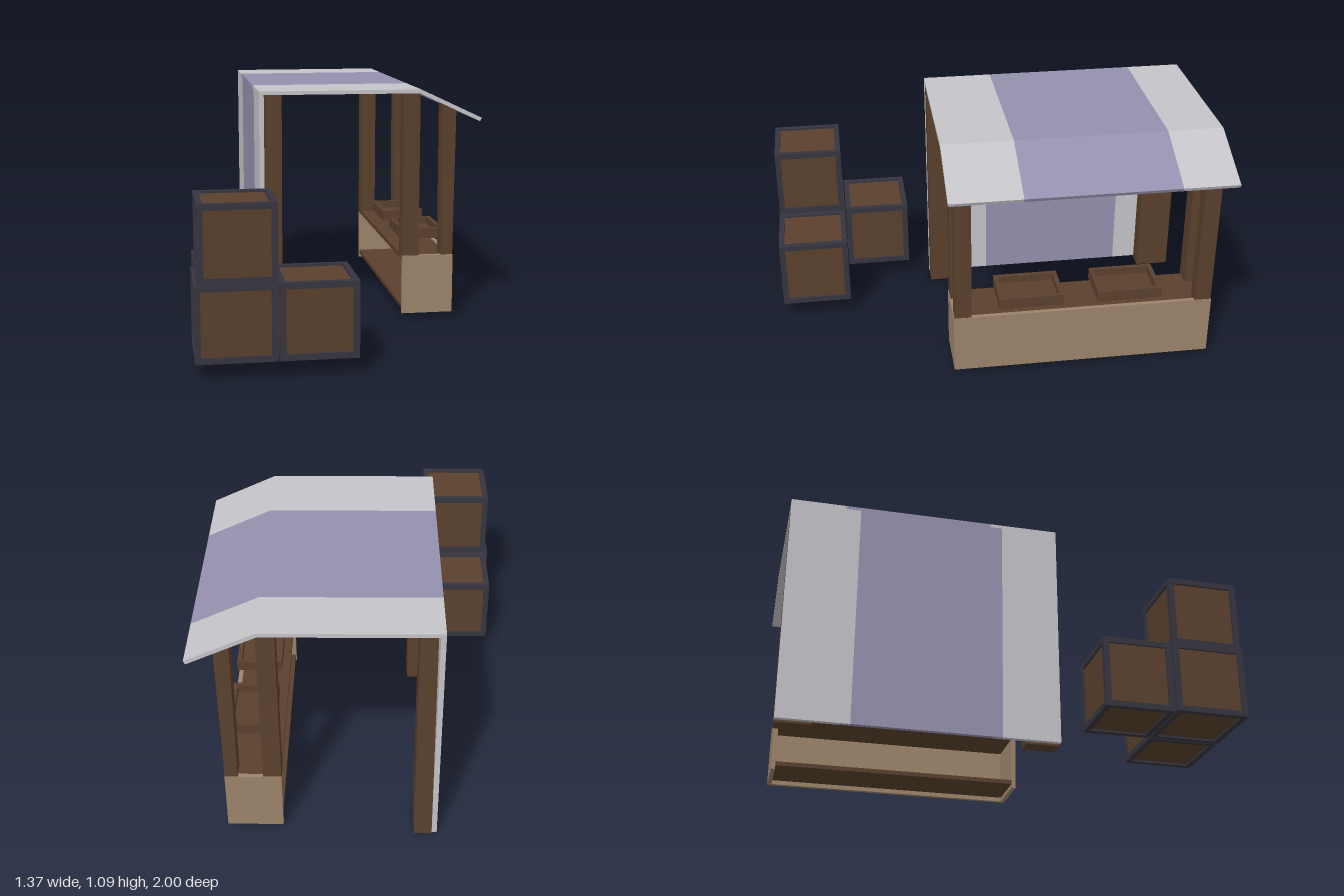
import * as THREE from 'three';

const material = (name, color) => {
  const m = new THREE.MeshStandardMaterial({ color });
  m.name = name;
  return m;
};

export function createModel() {
  const brown = material('brownWood', 0x5a402d);
  const tan = material('tanWood', 0x9c846a);
  const iron = material('darkIron', 0x36353f);
  const white = material('paleCloth', 0xc4c3c8);
  const purple = material('purpleCloth', 0x9490ae);

  const model = new THREE.Group();
  model.name = 'marketStall';

  const group = (name) => {
    const g = new THREE.Group();
    g.name = name;
    model.add(g);
    return g;
  };

  // Box given by its limits on each axis
  const box = (parent, name, mat, [x0, x1], [y0, y1], [z0, z1]) => {
    const mesh = new THREE.Mesh(new THREE.BoxGeometry(x1 - x0, y1 - y0, z1 - z0), mat);
    mesh.position.set((x0 + x1) / 2, (y0 + y1) / 2, (z0 + z1) / 2);
    mesh.name = name;
    parent.add(mesh);
  };

  // Side profile in x and y, extended along z
  const prism = (parent, name, mat, points, [z0, z1]) => {
    const shape = new THREE.Shape(points.map(([x, y]) => new THREE.Vector2(x, y)));
    const geo = new THREE.ExtrudeGeometry(shape, { depth: z1 - z0, bevelEnabled: false });
    geo.translate(0, 0, z0);
    const mesh = new THREE.Mesh(geo, mat);
    mesh.name = name;
    parent.add(mesh);
  };

  // Cloth canopy: flat roof, sloping awning and back wall, each in three bands
  const canopy = group('canopy');
  const roof = [[-0.35, 1.07], [0.39, 1.068], [0.675, 0.935], [0.683, 0.951], [0.395, 1.086], [-0.35, 1.086]];
  const banded = (z0, z1, add) => {
    add(white, [-1, z0]);
    add(purple, [z0, z1]);
    add(white, [z1, 0.255]);
  };
  banded(-0.75, -0.065, (mat, z) => prism(canopy, 'roofBand', mat, roof, z));
  banded(-0.725, -0.045, (mat, z) => box(canopy, 'innerWallBand', mat, [-0.34, -0.328], [0.01, 1.07], z));
  banded(-0.68, -0.01, (mat, z) => box(canopy, 'outerWallBand', mat, [-0.35, -0.34], [0.01, 1.07], z));

  // Posts: wide ones at the wall, slim pairs on the counter
  const posts = group('posts');
  for (const z of [[0.1, 0.253], [-0.998, -0.84]]) {
    prism(posts, 'wallPost', brown, [[-0.328, 0], [-0.25, 0], [-0.247, 1.07], [-0.32, 1.07]], z);
  }
  for (const z of [[0.145, 0.222], [-0.962, -0.887]]) {
    box(posts, 'innerCounterPost', brown, [0.322, 0.4], [0.28, 1.07], z);
    prism(posts, 'outerCounterPost', brown, [[0.508, 0.28], [0.563, 0.28], [0.57, 0.985], [0.505, 1.015]], z);
  }

  // Counter: tan front and ends, brown shelves, open towards the seller
  const counter = group('counter');
  box(counter, 'frontPanel', tan, [0.545, 0.565], [0.02, 0.3], [-0.965, 0.225]);
  box(counter, 'endPanel', tan, [0.322, 0.545], [0.02, 0.3], [0.205, 0.225]);
  box(counter, 'endPanel', tan, [0.322, 0.545], [0.02, 0.3], [-0.965, -0.945]);
  box(counter, 'counterTop', brown, [0.325, 0.545], [0.275, 0.296], [-0.945, 0.205]);
  box(counter, 'lowerShelf', brown, [0.325, 0.545], [0.04, 0.06], [-0.945, 0.205]);

  // Open display trays
  for (const zc of [-0.128, -0.578]) {
    const tray = group('displayTray');
    const x = [0.358, 0.568], y = [0.335, 0.385], z = [zc - 0.147, zc + 0.147], t = 0.02;
    box(tray, 'trayBase', brown, x, [y[0], y[0] + 0.015], z);
    for (const s of [0, 1]) {
      const xs = s ? [x[1] - t, x[1]] : [x[0], x[0] + t];
      const zs = s ? [z[1] - t, z[1]] : [z[0], z[0] + t];
      box(tray, 'traySide', brown, xs, y, z);
      box(tray, 'trayEnd', brown, [x[0] + t, x[1] - t], y, zs);
    }
  }

  // Crates: recessed wooden panels in a frame of twelve iron bars
  const crate = (min, max) => {
    const g = group('crate');
    const w = 0.026, inset = 0.01;
    const span = [0, 1, 2].map((i) => [min[i] + inset, max[i] - inset]);
    box(g, 'cratePanels', brown, ...span);
    for (let axis = 0; axis < 3; axis++) {
      const a = (axis + 1) % 3, b = (axis + 2) % 3;
      for (const i of [0, 1]) for (const j of [0, 1]) {
        const limits = [];
        // Upright bars run full height; the others butt between them
        limits[axis] = axis === 1 ? [min[1], max[1]] : [min[axis] + w, max[axis] - w];
        limits[a] = i ? [max[a] - w, max[a]] : [min[a], min[a] + w];
        limits[b] = j ? [max[b] - w, max[b]] : [min[b], min[b] + w];
        box(g, 'crateFrameBar', iron, ...limits);
      }
    }
  };
  crate([-0.685, 0.07, 0.673], [-0.348, 0.394, 1]);
  crate([-0.342, 0.07, 0.673], [-0.016, 0.394, 1]);
  crate([-0.67, 0.07, 0.358], [-0.346, 0.394, 0.669]);
  crate([-0.67, 0.396, 0.678], [-0.346, 0.722, 0.998]);

  return model;
}
